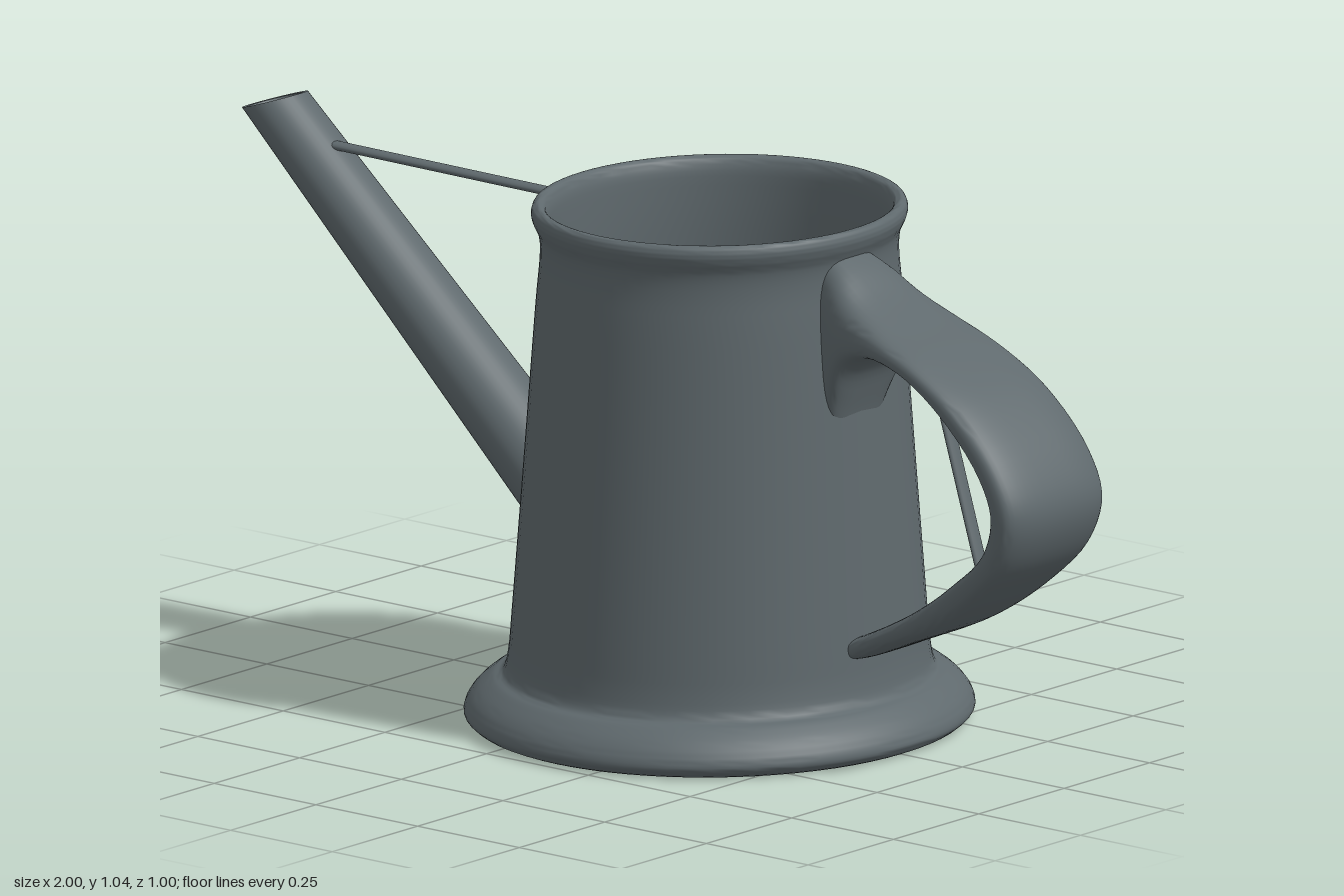
import * as THREE from 'three';
import { toCreasedNormals } from 'three/addons/utils/BufferGeometryUtils.js';

const metal = new THREE.MeshStandardMaterial({ color: 0x5f696d, side: THREE.DoubleSide });

function addMesh(group, name, geometry) {
  const mesh = new THREE.Mesh(geometry, metal);
  mesh.name = name;
  group.add(mesh);
  return mesh;
}

// Skin over rings; each ring is [x1, y1, x2, y2, halfWidth]: two opposite points
// in the x-y plane and a half width in z. power 2 = ellipse, higher = boxier.
function loft(rings, sides, power) {
  const pos = [], index = [];
  const bulge = v => Math.sign(v) * Math.pow(Math.abs(v), 2 / power);
  for (const [x1, y1, x2, y2, w] of rings) {
    for (let j = 0; j < sides; j++) {
      const t = j / sides * Math.PI * 2;
      const c = bulge(Math.cos(t)) / 2;
      pos.push((x1 + x2) / 2 + (x1 - x2) * c, (y1 + y2) / 2 + (y1 - y2) * c, w * bulge(Math.sin(t)));
    }
  }
  for (let i = 0; i < rings.length - 1; i++) {
    for (let j = 0; j < sides; j++) {
      const k = (j + 1) % sides;
      const a = i * sides + j, b = i * sides + k;
      index.push(a, b, a + sides, b, b + sides, a + sides);
    }
  }
  const g = new THREE.BufferGeometry();
  g.setAttribute('position', new THREE.Float32BufferAttribute(pos, 3));
  g.setIndex(index);
  return toCreasedNormals(g, Math.PI / 4);
}

// Ring shrunk to its centre, used to close an end
const closed = ([x1, y1, x2, y2]) => {
  const x = (x1 + x2) / 2, y = (y1 + y2) / 2;
  return [x, y, x, y, 0];
};

// Smoothly resample ring stations along a loft
function smoothRings(stations, count) {
  const curve = pick => new THREE.CatmullRomCurve3(stations.map(pick));
  const outer = curve(s => new THREE.Vector3(s[0], s[1], s[4]));
  const inner = curve(s => new THREE.Vector3(s[2], s[3], 0));
  return Array.from({ length: count + 1 }, (_, i) => {
    const o = outer.getPoint(i / count), n = inner.getPoint(i / count);
    return [o.x, o.y, n.x, n.y, o.z];
  });
}

// Thin rod in the x-y plane, wider in z than it is thick
function addRod(group, name, from, to, thickness, width) {
  const a = new THREE.Vector3(...from, 0), b = new THREE.Vector3(...to, 0);
  const dir = b.clone().sub(a);
  const rod = addMesh(group, name, new THREE.CylinderGeometry(1, 1, dir.length(), 16));
  rod.scale.set(thickness / 2, 1, width / 2);
  rod.position.copy(a).add(b).multiplyScalar(0.5);
  rod.rotation.z = Math.atan2(dir.y, dir.x) - Math.PI / 2;
}

export function createModel() {
  const group = new THREE.Group();

  // Body: tapered can with flared foot, rolled rim and hollow inside
  const outside = [
    [0.485, 0.006], [0.499, 0.02], [0.494, 0.042], [0.475, 0.066], [0.445, 0.088], [0.422, 0.1],
    [0.412, 0.14], [0.405, 0.22], [0.383, 0.5], [0.36, 0.8], [0.351, 0.9], [0.353, 0.945],
    [0.364, 0.97], [0.368, 0.988], [0.362, 1.003], [0.348, 1.004], [0.338, 0.99], [0.333, 0.95],
    [0.335, 0.8], [0.36, 0.4], [0.365, 0.22], [0.335, 0.15], [0.26, 0.112], [0.18, 0.1],
  ].map(p => new THREE.Vector2(...p));
  const profile = [
    new THREE.Vector2(0, 0.002), new THREE.Vector2(0.475, 0.002),
    ...new THREE.SplineCurve(outside).getPoints(92),
    new THREE.Vector2(0, 0.1),
  ];
  const body = addMesh(group, 'body', toCreasedNormals(new THREE.LatheGeometry(profile, 72), Math.PI / 4));
  body.scale.x = 0.94;
  body.position.x = 0.153;

  // Spout: hollow tapered tube, built from inside bottom to lip to outer root
  const boreEnd = [-0.24, 0.42, -0.25, 0.28, 0.065];
  addMesh(group, 'spout', loft([
    closed(boreEnd),
    boreEnd,
    [-0.89, 1.035, -0.988, 1.003, 0.056],
    [-0.88, 1.04, -1, 1, 0.065],
    [-0.19, 0.44, -0.2, 0.24, 0.09],
  ], 40, 2));

  // Strap handle: outer point, inner point, half width
  const handle = smoothRings([
    [0.465, 0.965, 0.488, 0.6, 0.09],
    [0.515, 0.935, 0.51, 0.68, 0.108],
    [0.57, 0.893, 0.54, 0.75, 0.118],
    [0.65, 0.85, 0.6, 0.785, 0.126],
    [0.757, 0.8, 0.69, 0.772, 0.134],
    [0.864, 0.735, 0.79, 0.712, 0.141],
    [0.96, 0.634, 0.885, 0.615, 0.145],
    [0.998, 0.543, 0.915, 0.54, 0.145],
    [0.97, 0.45, 0.89, 0.465, 0.139],
    [0.89, 0.366, 0.8, 0.385, 0.128],
    [0.783, 0.29, 0.7, 0.315, 0.113],
    [0.65, 0.23, 0.61, 0.265, 0.094],
    [0.54, 0.185, 0.525, 0.225, 0.072],
    [0.51, 0.18, 0.5, 0.215, 0.066],
  ], 60);
  addMesh(group, 'handle', loft([closed(handle[0]), ...handle, closed(handle[60])], 40, 3));

  // Braces for the spout and the handle
  addRod(group, 'spoutBrace', [-0.8, 0.955], [-0.17, 0.952], 0.016, 0.032);
  addRod(group, 'handleBrace', [0.675, 0.79], [0.805, 0.37], 0.014, 0.032);

  return group;
}
